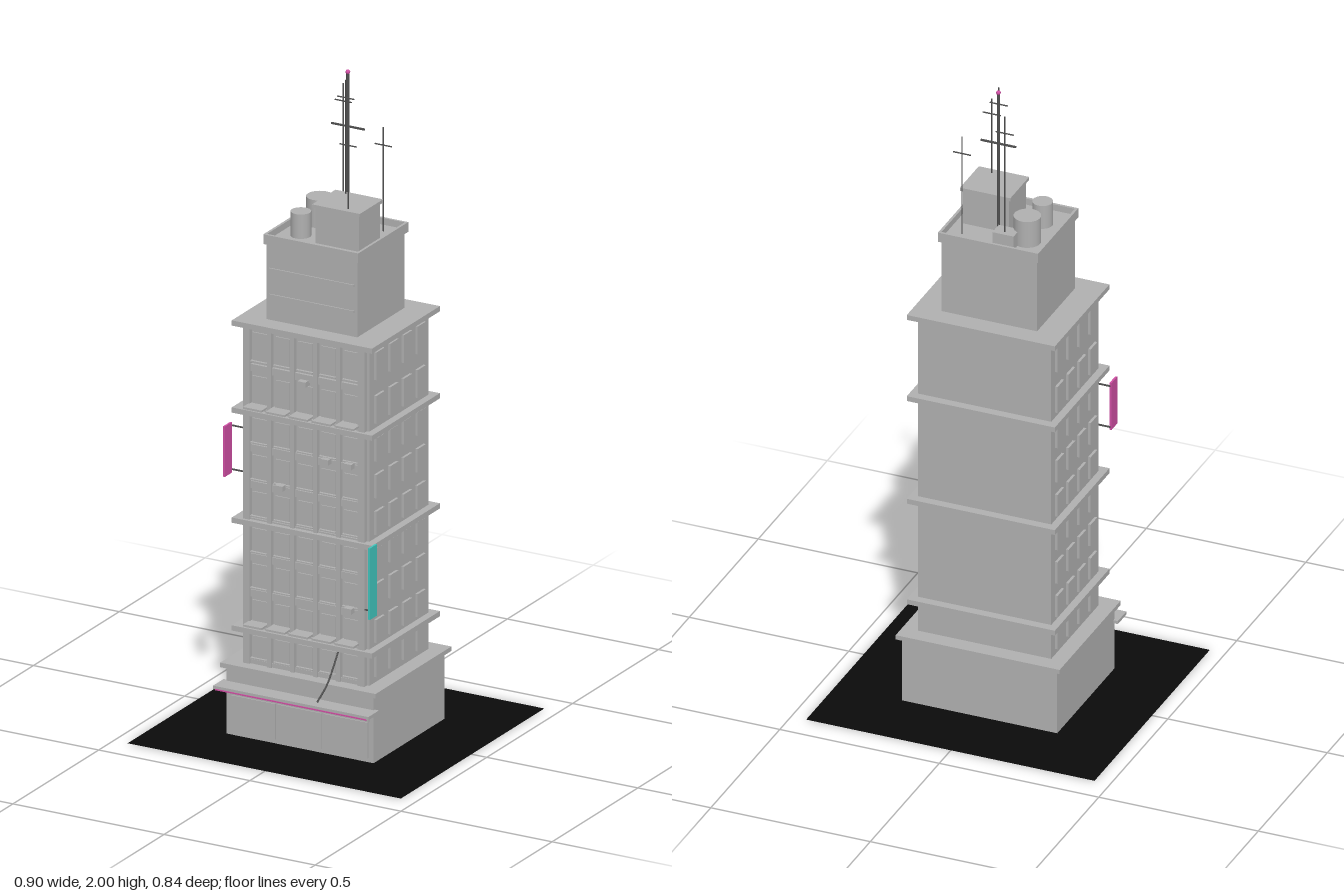
import * as THREE from 'three';

const flat = (name, color) => {
  const m = new THREE.MeshStandardMaterial({ color });
  m.name = name;
  return m;
};

export function createModel() {
  const root = new THREE.Group();
  root.name = 'tower';
  const stone = flat('grey stone', 0xb0b0b0);
  const metal = flat('dark metal', 0x505050);
  const asphalt = flat('black ground', 0x0a0a0a);
  const pink = flat('pink sign', 0xd04fa4);
  const teal = flat('teal sign', 0x40c4bc);
  asphalt.side = THREE.DoubleSide;

  const add = (name, geo, mat, x, y, z) => {
    const m = new THREE.Mesh(geo, mat);
    m.name = name;
    m.position.set(x, y, z);
    root.add(m);
    return m;
  };
  // Box given by its extents on each axis
  const block = (name, [x0, x1], [y0, y1], [z0, z1], mat = stone) =>
    add(name, new THREE.BoxGeometry(x1 - x0, y1 - y0, z1 - z0), mat,
      (x0 + x1) / 2, (y0 + y1) / 2, (z0 + z1) / 2);
  const rod = (name, r, y0, y1, x, z, mat = metal, sides = 8) =>
    add(name, new THREE.CylinderGeometry(r, r, y1 - y0, sides), mat, x, (y0 + y1) / 2, z);

  // Ground sheet
  const ground = add('ground', new THREE.PlaneGeometry(0.904, 0.836), asphalt, 0, 0.002, -0.002);
  ground.rotation.x = -Math.PI / 2;

  // Street-level base, its ledge and the canopy
  block('base', [-0.243, 0.243], [0, 0.21], [-0.207, 0.207]);
  block('baseLedge', [-0.257, 0.257], [0.208, 0.222], [-0.222, 0.22]);
  block('canopy', [-0.257, 0.257], [0.155, 0.165], [0.2, 0.262]);
  block('canopyNeon', [-0.25, 0.25], [0.153, 0.157], [0.258, 0.264], pink);
  for (let i = -1; i <= 1; i++)
    block('shopShutter', [i * 0.153 - 0.073, i * 0.153 + 0.073], [0.015, 0.125], [0.2, 0.212]);
  block('shopLintel', [-0.23, 0.23], [0.127, 0.135], [0.2, 0.213]);

  // Main shaft and its ledges
  block('shaft', [-0.209, 0.209], [0.22, 1.26], [-0.172, 0.172]);
  for (const y of [0.326, 0.658, 0.997, 1.265])
    block('shaftLedge', [-0.232, 0.232], [y - 0.008, y + 0.008], [-0.199, 0.197]);

  // Front pilasters
  for (let i = 0; i < 6; i++) {
    const x = -0.19 + i * 0.076, w = i % 5 ? 0.0065 : 0.011;
    block('pilaster', [x - w, x + w], [0.22, 1.26], [0.17, 0.187]);
  }

  // Floors: spandrels and windows on the front, windows on both sides
  const levels = [0.222, 0.326, 0.437, 0.548, 0.658, 0.771, 0.884, 0.997, 1.131, 1.265];
  for (let f = 0; f < 9; f++) {
    const lo = levels[f], hi = levels[f + 1], mid = (lo + hi) / 2;
    block('spandrel', [-0.19, 0.19], [lo - 0.009, lo + 0.013], [0.17, 0.181]);
    const h = (hi - lo) * 0.32;
    for (let b = -2; b <= 2; b++) {
      const x = b * 0.076;
      block('frontWindow', [x - 0.024, x + 0.024], [mid - h, mid + h], [0.17, 0.176]);
      block('windowSill', [x - 0.027, x + 0.027], [mid - h - 0.004, mid - h], [0.17, 0.184]);
    }
    for (const s of [-1, 1])
      for (let c = 0; c < 4; c++) {
        const z = -0.12 + c * 0.08;
        add('sideWindow', new THREE.BoxGeometry(0.012, h * 2, 0.048), stone, s * 0.211, mid, z);
      }
  }

  // Thin shelves above two ledges
  for (const y of [0.35, 1.02])
    for (let b = -2; b <= 2; b++)
      block('shelf', [b * 0.076 - 0.031, b * 0.076 + 0.031], [y - 0.003, y + 0.003], [0.17, 0.219]);

  // Window cooling units
  for (const [x, y] of [[0, 1.12], [0.076, 0.895], [0.152, 0.895], [-0.076, 0.785], [0.152, 0.45]])
    block('coolingUnit', [x - 0.013, x + 0.013], [y - 0.008, y + 0.008], [0.17, 0.2]);

  // Blade signs on brackets at the two front corners
  for (const [s, y0, y1, mat] of [[-1, 0.8, 0.955, pink], [1, 0.45, 0.67, teal]]) {
    add('bladeSign', new THREE.BoxGeometry(0.006, y1 - y0, 0.042), mat, s * 0.24, (y0 + y1) / 2, 0.207);
    for (const y of [y0 + 0.01, y1 - 0.01])
      add('signBracket', new THREE.BoxGeometry(0.04, 0.004, 0.004), metal, s * 0.22, y, 0.185);
  }

  // Upper block with bands and a parapet
  block('upperBlock', [-0.15, 0.15], [1.265, 1.515], [-0.138, 0.138]);
  for (const y of [1.35, 1.43])
    block('upperBand', [-0.14, 0.14], [y - 0.003, y + 0.003], [0.13, 0.142]);
  const rim = new THREE.Shape([[-0.157, -0.146], [0.157, -0.146], [0.157, 0.146], [-0.157, 0.146]]
    .map(p => new THREE.Vector2(...p)));
  rim.holes.push(new THREE.Path([[-0.149, -0.138], [-0.149, 0.138], [0.149, 0.138], [0.149, -0.138]]
    .map(p => new THREE.Vector2(...p))));
  const parapet = add('parapet',
    new THREE.ExtrudeGeometry(rim, { depth: 0.03, bevelEnabled: false }), stone, 0, 1.505, -0.001);
  parapet.rotation.x = -Math.PI / 2;

  // Rooftop bulkhead, tanks and machine box
  block('bulkhead', [-0.018, 0.127], [1.51, 1.628], [-0.036, 0.087]);
  block('bulkheadCap', [-0.025, 0.133], [1.625, 1.635], [-0.043, 0.094]);
  rod('largeTank', 0.04, 1.51, 1.6, -0.085, -0.058, stone, 24);
  rod('smallTank', 0.03, 1.51, 1.59, -0.085, 0.053, stone, 24);
  block('machineBox', [-0.07, -0.003], [1.51, 1.56], [-0.123, -0.076]);

  // Main mast with beacon
  rod('mast', 0.005, 1.51, 1.994, 0, -0.071);
  block('mastCrossbar', [-0.055, 0.055], [1.823, 1.828], [-0.074, -0.069], metal);
  add('beacon', new THREE.SphereGeometry(0.007, 10, 8), pink, 0, 1.993, -0.071);

  // Aerials: x, z, foot, crossbar height, top
  for (const [x, z, y0, bar, y1] of [
    [-0.035, -0.107, 1.55, 1.885, 1.94],
    [0.017, -0.03, 1.63, 1.93, 1.985],
    [0.083, 0.073, 1.63, 1.83, 1.88],
    [0.105, -0.093, 1.51, 1.78, 1.835],
  ]) {
    rod('aerial', 0.002, y0, y1, x, z, metal, 6);
    block('aerialCrossbar', [x - 0.028, x + 0.028], [bar - 0.0015, bar + 0.0015], [z - 0.0015, z + 0.0015], metal);
  }

  // Hanging cable
  const path = new THREE.CatmullRomCurve3([
    new THREE.Vector3(0.115, 0.325, 0.18), new THREE.Vector3(0.13, 0.25, 0.275),
    new THREE.Vector3(0.145, 0.222, 0.365),
  ]);
  add('cable', new THREE.TubeGeometry(path, 12, 0.003, 6), metal, 0, 0, 0);

  return root;
}
